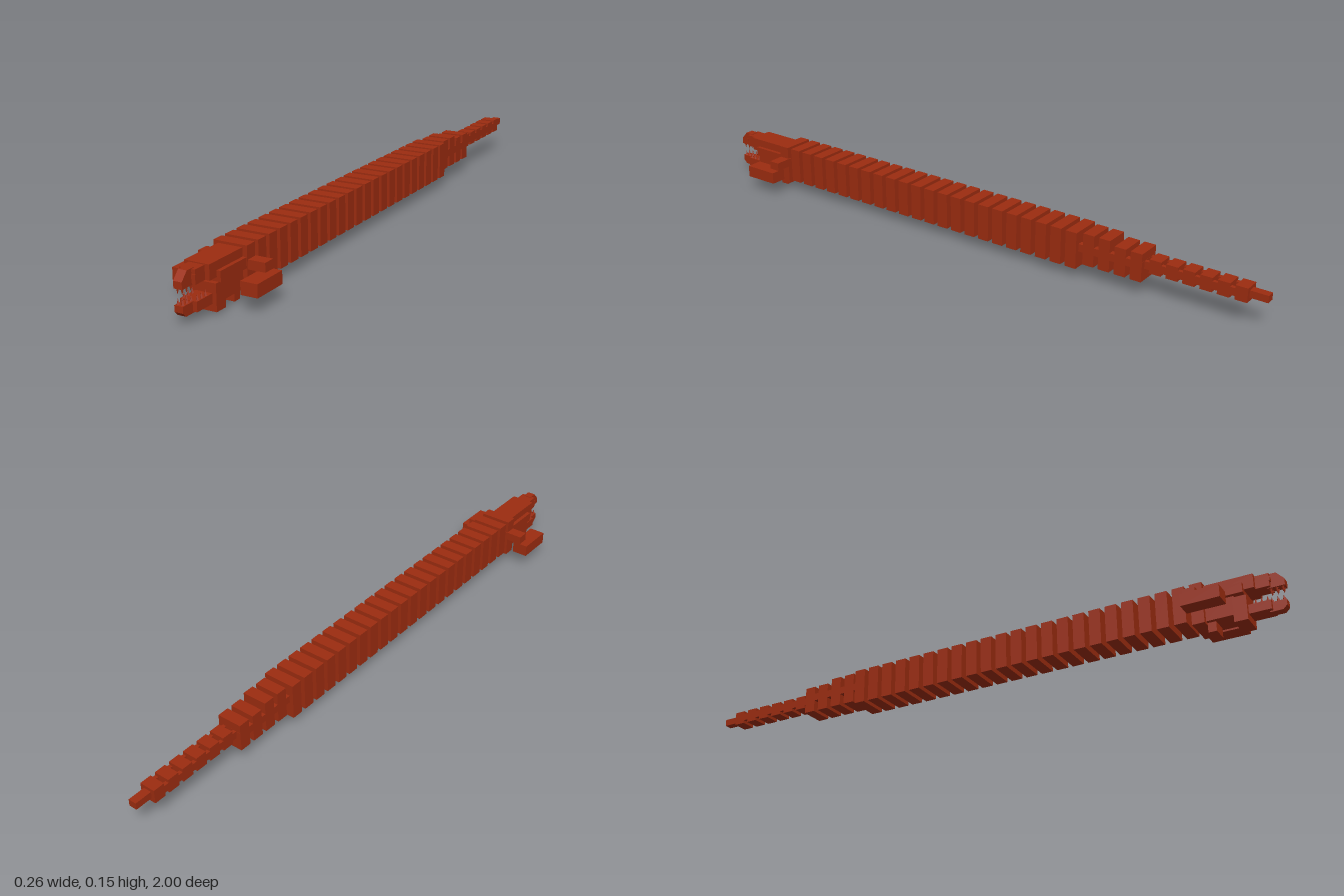
import * as THREE from 'three';

const rust = new THREE.MeshStandardMaterial({ color: 0x9c2c10, flatShading: true });
rust.name = 'rust red';

export function createModel() {
  const root = new THREE.Group();

  // Box given by its limits on each axis
  function box(name, x0, x1, y0, y1, z0, z1) {
    const mesh = new THREE.Mesh(new THREE.BoxGeometry(x1 - x0, y1 - y0, z1 - z0), rust);
    mesh.position.set((x0 + x1) / 2, (y0 + y1) / 2, (z0 + z1) / 2);
    mesh.name = name;
    root.add(mesh);
    return mesh;
  }
  const centred = (name, w, y0, y1, z0, z1) => box(name, -w, w, y0, y1, z0, z1);

  // Four-sided spike for a tooth
  function tooth(name, x, y, z, height, down) {
    const mesh = new THREE.Mesh(new THREE.ConeGeometry(0.005, height, 4), rust);
    mesh.position.set(x, y, z);
    if (down) mesh.rotation.z = Math.PI;
    mesh.name = name;
    root.add(mesh);
  }

  // Side profile [z, y] swept across the width
  function profile(name, w, points) {
    const shape = new THREE.Shape(points.map(([z, y]) => new THREE.Vector2(-z, y)));
    const geo = new THREE.ExtrudeGeometry(shape, { depth: 2 * w, bevelEnabled: false });
    geo.translate(0, 0, -w);
    geo.rotateY(Math.PI / 2);
    const mesh = new THREE.Mesh(geo, rust);
    mesh.name = name;
    root.add(mesh);
  }

  // Body plates: large, then two stepped groups, then the thin tail
  const pitch = 0.0526, thick = 0.037;
  for (let i = 0; i < 33; i++) {
    const z1 = 0.775 - i * pitch, z0 = z1 - thick;
    if (i === 0) centred('neckPlate', 0.052, 0.022, 0.15, z0, z1);
    else if (i < 23) centred('bodyPlate', 0.052, 0.035, 0.15, z0, z1);
    else if (i < 25) centred('hipPlate', 0.04, 0.05, 0.15, z0, z1);
    else if (i < 27) centred('hipPlate', 0.04, 0.05, 0.138, z0, z1);
    else centred('tailPlate', 0.025, 0.078, 0.122, z0, z1);
  }

  // Spine, paired side rails and tail tip
  centred('spine', 0.011, 0.088, 0.112, -0.42, 0.78);
  centred('hipSpine', 0.008, 0.088, 0.112, -0.63, -0.42);
  for (const s of [-1, 1]) {
    const rail = (name, a, b, z0, z1) =>
      box(name, Math.min(s * a, s * b), Math.max(s * a, s * b), 0.088, 0.112, z0, z1);
    rail('hipRail', 0.022, 0.04, -0.63, -0.42);
    rail('tailRail', 0.013, 0.025, -0.94, -0.63);
  }
  centred('tailTip', 0.013, 0.09, 0.112, -1, -0.94);

  // Skull and cheeks
  centred('skull', 0.038, 0.1, 0.143, 0.77, 0.92);
  centred('cheeks', 0.05, 0.088, 0.118, 0.77, 0.89);
  centred('throat', 0.038, 0.03, 0.1, 0.77, 0.86);
  centred('jawHinge', 0.038, 0.007, 0.084, 0.855, 0.895);
  centred('chinSpur', 0.026, 0, 0.04, 0.775, 0.8);

  // Upper snout with a sloping nose
  centred('snoutBase', 0.024, 0.1, 0.14, 0.91, 0.96);
  profile('snoutTip', 0.013, [[0.95, 0.098], [1, 0.098], [1, 0.118], [0.978, 0.142], [0.95, 0.142]]);

  // Lower jaw with a chamfered chin
  centred('lowerJaw', 0.026, 0.028, 0.056, 0.89, 0.96);
  profile('jawTip', 0.013, [[0.95, 0.024], [0.988, 0.024], [1, 0.036], [1, 0.054], [0.95, 0.054]]);

  // Eyes, arms and teeth, mirrored
  for (const s of [-1, 1]) {
    const side = (name, a, b, ...rest) =>
      box(name, Math.min(s * a, s * b), Math.max(s * a, s * b), ...rest);
    side('eye', 0.014, 0.026, 0.115, 0.128, 0.959, 0.963);
    side('upperArm', 0.04, 0.105, 0.084, 0.111, 0.735, 0.772);
    side('forearm', 0.08, 0.132, 0.046, 0.084, 0.735, 0.85);

    for (let k = 0; k < 3; k++) {
      tooth('upperTooth', s * 0.007, 0.09, 0.992 - k * 0.017, 0.018, true);
      tooth('lowerTooth', s * 0.007, 0.062, 0.992 - k * 0.017, 0.018, false);
      tooth('backLowerTooth', s * 0.02, 0.064, 0.95 - k * 0.017, 0.018, false);
    }
  }
  return root;
}
